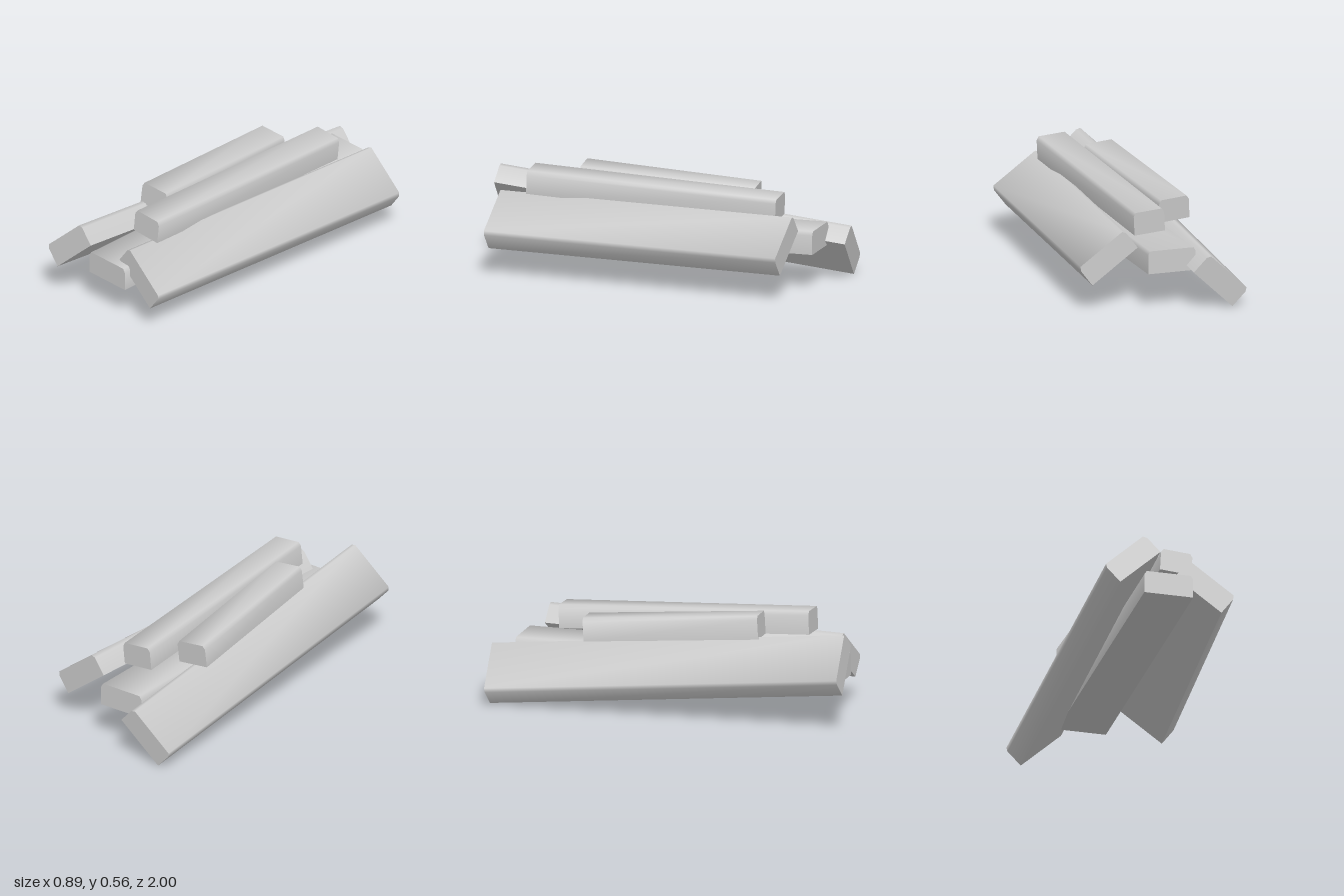
import * as THREE from 'three';
import { toCreasedNormals } from 'three/addons/utils/BufferGeometryUtils.js';

const material = new THREE.MeshStandardMaterial({ color: 0xcccccc });
const THICKNESS = 0.126;

// Beam with a flat underside and eased upper edges, centred, running along z
function beamGeometry(width, length) {
  const w = width / 2, h = THICKNESS / 2, cx = 0.013, cy = 0.021;
  const section = new THREE.Shape([
    [-w, -h], [w, -h], [w, h - cy], [w - cx, h], [-w + cx, h], [-w, h - cy],
  ].map(([x, y]) => new THREE.Vector2(x, y)));
  const geometry = new THREE.ExtrudeGeometry(section, { depth: length, bevelEnabled: false });
  geometry.translate(0, 0, -length / 2);
  return toCreasedNormals(geometry, 1.1);
}

// Lay a beam along an axis, with its width turned towards the side direction
function beam(name, { width, length, center, axis, side }) {
  const z = new THREE.Vector3(...axis).normalize();
  const x = new THREE.Vector3(...side);
  x.addScaledVector(z, -x.dot(z)).normalize();
  const y = new THREE.Vector3().crossVectors(z, x);
  const mesh = new THREE.Mesh(beamGeometry(width, length), material);
  mesh.name = name;
  mesh.quaternion.setFromRotationMatrix(new THREE.Matrix4().makeBasis(x, y, z));
  mesh.position.set(...center);
  return mesh;
}

export function createModel() {
  const group = new THREE.Group();
  group.name = 'beamPile';
  group.add(
    // Wide beam leaning on the left side, parallel to the pile
    beam('leftLeaningBeam', {
      width: 0.316, length: 1.685, center: [0.289, 0.293, 0],
      axis: [0, 0, 1], side: [0.252, -0.191, 0],
    }),
    // Flat beam in the middle of the pile
    beam('baseBeam', {
      width: 0.27, length: 1.795, center: [0.016, 0.267, -0.003],
      axis: [0.13, 0, 1.79], side: [1, 0, 0],
    }),
    // Longest beam, sloping down towards the back on the right side
    beam('rightLeaningBeam', {
      width: 0.314, length: 1.977, center: [-0.215, 0.26, -0.002],
      axis: [0.164, 0.2, 1.96], side: [0.226, 0.214, -0.041],
    }),
    // Two narrow beams resting on top
    beam('longTopBeam', {
      width: 0.175, length: 1.389, center: [0.09, 0.466, -0.004],
      axis: [0.143, 0.067, 1.38], side: [0.174, -0.012, -0.017],
    }),
    beam('shortTopBeam', {
      width: 0.175, length: 0.959, center: [-0.109, 0.466, -0.006],
      axis: [0.146, 0.07, 0.945], side: [0.172, -0.012, -0.026],
    }),
  );
  return group;
}
